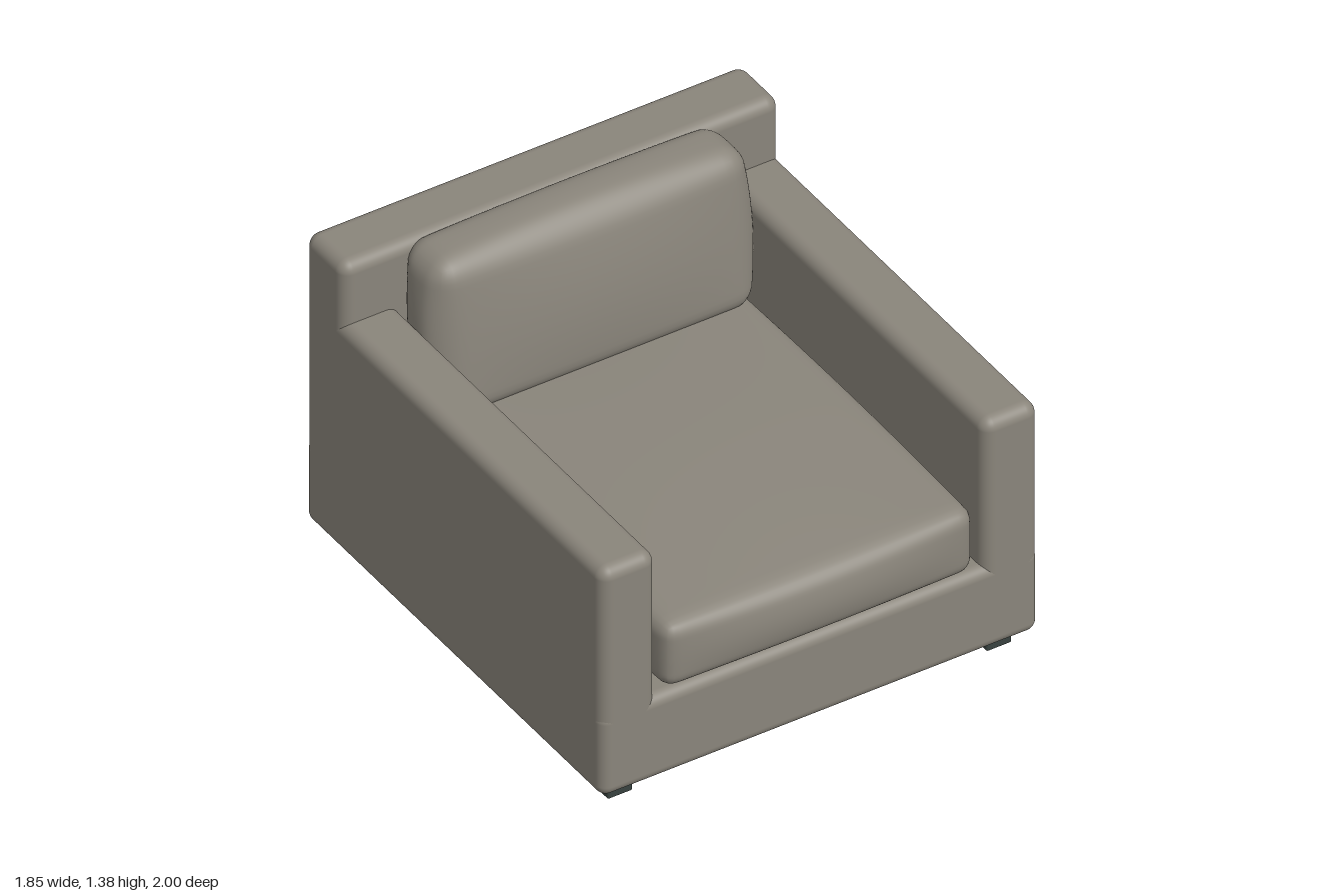
import * as THREE from 'three';
import { RoundedBoxGeometry } from 'three/addons/geometries/RoundedBoxGeometry.js';
import { mergeVertices } from 'three/addons/utils/BufferGeometryUtils.js';

const fabric = new THREE.MeshStandardMaterial({ color: 0x8a857b });
fabric.name = 'warm grey fabric';
const legPaint = new THREE.MeshStandardMaterial({ color: 0x38423f });
legPaint.name = 'dark leg';

// Rounded block given by its limits on each axis
function block(name, [x0, x1], [y0, y1], [z0, z1], radius, material = fabric, segments = 5) {
  const geometry = new RoundedBoxGeometry(x1 - x0, y1 - y0, z1 - z0, segments, radius);
  const mesh = new THREE.Mesh(geometry, material);
  mesh.name = name;
  mesh.position.set((x0 + x1) / 2, (y0 + y1) / 2, (z0 + z1) / 2);
  return mesh;
}

// Soft cushion: a rounded box whose faces swell outwards towards their middles.
// bulge = [x, top, bottom, z], lean = z shift from bottom to top
function cushion(name, size, radius, bulge, lean = 0) {
  let geometry = new THREE.BoxGeometry(2, 2, 2, 28, 28, 28);
  geometry.deleteAttribute('uv');
  geometry.deleteAttribute('normal');
  geometry = mergeVertices(geometry);
  const half = new THREE.Vector3(...size).multiplyScalar(0.5);
  const inner = half.clone().subScalar(radius);
  const p = new THREE.Vector3(), core = new THREE.Vector3();
  const pos = geometry.attributes.position;
  for (let i = 0; i < pos.count; i++) {
    p.fromBufferAttribute(pos, i);
    // crowd the vertices towards the edges
    p.set(...p.toArray().map((v) => Math.sin(v * Math.PI / 2))).multiply(half);
    core.copy(p).clamp(inner.clone().negate(), inner);
    p.sub(core).setLength(radius).add(core);
    const u = p.clone().divide(half);
    const [fx, fy, fz] = u.toArray().map((v) => Math.max(0, 1 - v * v));
    p.x += bulge[0] * u.x * fy * fz;
    p.y += (u.y > 0 ? bulge[1] : bulge[2]) * u.y * fx * fz;
    p.z += bulge[3] * u.z * fx * fy + lean * u.y / 2;
    pos.setXYZ(i, p.x, p.y, p.z);
  }
  geometry.computeVertexNormals();
  const mesh = new THREE.Mesh(geometry, fabric);
  mesh.name = name;
  return mesh;
}

export function createModel() {
  const chair = new THREE.Group();
  chair.name = 'armchair';

  // Frame
  chair.add(block('base', [-0.925, 0.925], [0.07, 0.44], [-1, 0.965], 0.045));
  chair.add(block('backrest', [-0.925, 0.925], [0.2, 1.355], [-1, -0.745], 0.05));
  chair.add(block('leftArm', [0.69, 0.925], [0.2, 1.09], [-1, 0.965], 0.05));
  chair.add(block('rightArm', [-0.925, -0.69], [0.2, 1.09], [-1, 0.965], 0.05));

  // Cushions
  const seat = cushion('seatCushion', [1.31, 0.285, 1.72], 0.06, [0.035, 0.03, 0, 0.035]);
  seat.position.set(0, 0.582, 0.105);
  chair.add(seat);
  const back = cushion('backCushion', [1.31, 0.66, 0.26], 0.085, [0.045, 0.025, 0, 0.035], -0.07);
  back.position.set(0, 1.03, -0.625);
  chair.add(back);

  // Legs
  for (const x of [-0.8, 0.8]) {
    for (const z of [-0.87, 0.84]) {
      chair.add(block('leg', [x - 0.053, x + 0.053], [0, 0.085], [z - 0.053, z + 0.053], 0.008, legPaint, 2));
    }
  }
  return chair;
}
